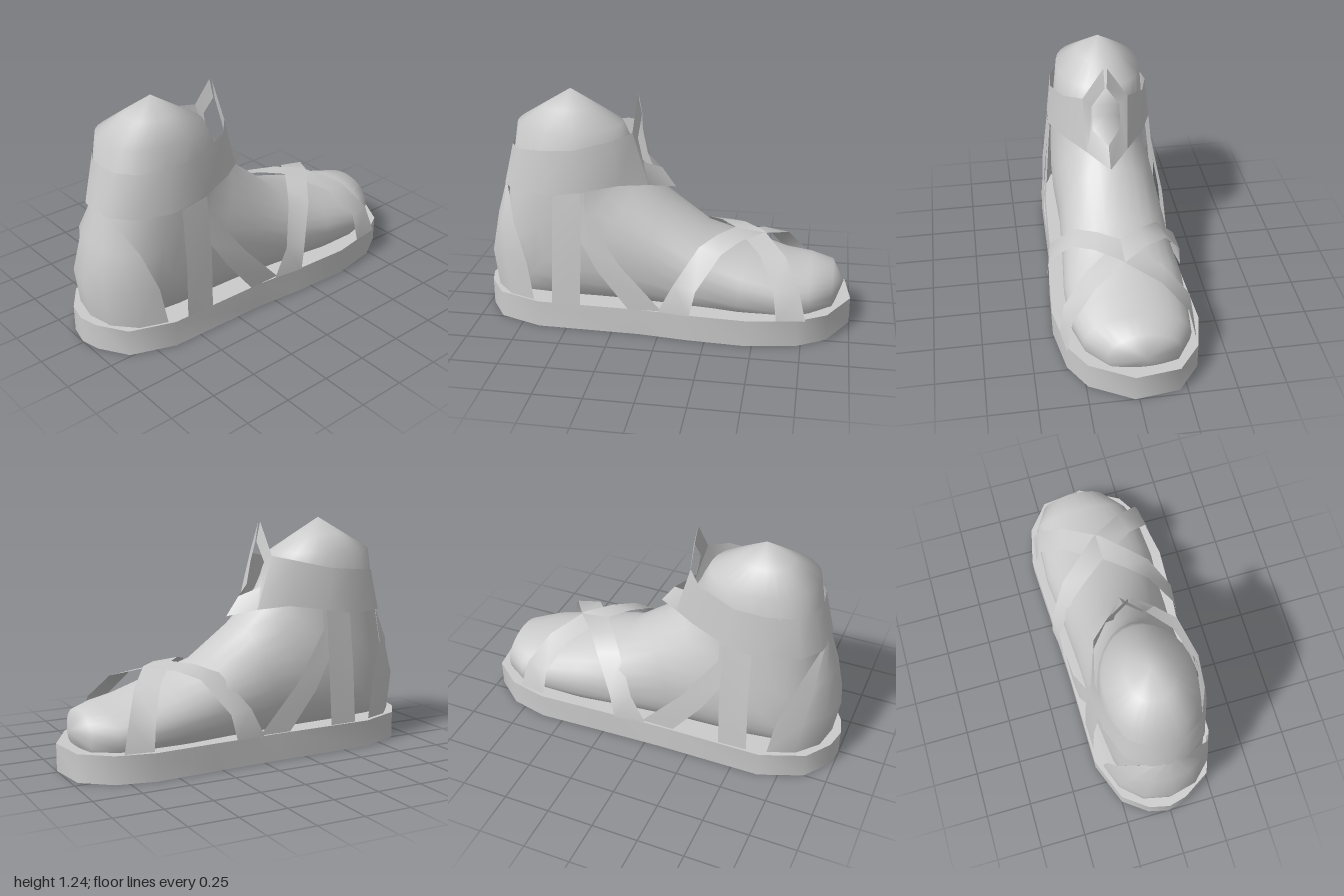
import * as THREE from 'three';
import { mergeVertices, toCreasedNormals } from 'three/addons/utils/BufferGeometryUtils.js';

const solid = new THREE.MeshStandardMaterial({ color: 0xcccccc });
const thin = new THREE.MeshStandardMaterial({ color: 0xcccccc, side: THREE.DoubleSide });

// Smooth surface through rows of [x, y, z] points, all rows of equal length
function sheet(name, rows, material = thin) {
  const n = rows[0].length, index = [];
  for (let r = 0; r < rows.length - 1; r++) {
    for (let c = 0; c < n - 1; c++) {
      const a = r * n + c, b = a + 1, d = a + n, e = d + 1;
      index.push(a, d, b, b, d, e);
    }
  }
  let geo = new THREE.BufferGeometry();
  geo.setAttribute('position', new THREE.Float32BufferAttribute(rows.flat(2), 3));
  geo.setIndex(index);
  geo = mergeVertices(geo, 1e-4);
  geo.computeVertexNormals();
  const mesh = new THREE.Mesh(geo, material);
  mesh.name = name;
  return mesh;
}

const flip = (row) => row.map(([x, y, z]) => [-x, y, z]);
// Extends a row that starts on the centre line to both sides
const bothSides = (row) => [...flip(row.slice(1)).reverse(), ...row];

function createSole() {
  const outline = [
    [0.02, -1], [0.24, -0.88], [0.33, -0.73], [0.375, -0.47], [0.36, -0.15], [0.335, 0.1],
    [0.325, 0.65], [0.24, 0.88], [0.09, 0.975], [-0.01, 1], [-0.12, 0.975], [-0.25, 0.88],
    [-0.34, 0.65], [-0.345, 0.1], [-0.36, -0.3], [-0.375, -0.62], [-0.33, -0.82], [-0.21, -0.97],
  ];
  const shape = new THREE.Shape(outline.map(([x, z]) => new THREE.Vector2(x, -z)));
  const geo = new THREE.ExtrudeGeometry(shape, { depth: 0.145, bevelEnabled: false });
  geo.rotateX(-Math.PI / 2);
  const mesh = new THREE.Mesh(toCreasedNormals(geo, 1), solid);
  mesh.name = 'sole';
  return mesh;
}

// Rings swing from upright at the toes to level at the ankle
function createFoot() {
  // top z, top y, bottom z, bottom y, half width, centre x
  const rings = [
    [-0.96, 0.22, -0.96, 0.22, 0, -0.04],
    [-0.9, 0.325, -0.9, 0.08, 0.185, -0.04],
    [-0.78, 0.35, -0.78, 0.05, 0.275, -0.025],
    [-0.65, 0.37, -0.62, 0.05, 0.305, -0.01],
    [-0.45, 0.44, -0.4, 0.05, 0.315, -0.01],
    [-0.22, 0.52, -0.15, 0.05, 0.295, -0.01],
    [0, 0.7, 0.2, 0.05, 0.28, -0.01],
    [0.1, 0.81, 0.6, 0.05, 0.28, -0.005],
    [0.15, 0.87, 0.88, 0.08, 0.268, 0],
    [0.18, 0.93, 0.93, 0.35, 0.26, 0],
    [0.2, 0.98, 0.86, 0.7, 0.25, -0.005],
    [0.24, 1.06, 0.8, 1.07, 0.23, -0.01],
    [0.38, 1.15, 0.66, 1.155, 0.118, -0.01],
    [0.52, 1.24, 0.52, 1.24, 0, -0.01],
  ];
  const sides = 28;
  const power = (v, p) => Math.sign(v) * Math.abs(v) ** p;
  const rows = rings.map(([tz, ty, bz, by, w, cx]) => {
    const row = [];
    for (let i = 0; i <= sides; i++) {
      const t = ((i % sides) / sides) * Math.PI * 2;
      // Round above, squarer towards the sole and heel
      const p = Math.cos(t) > 0 ? 1 : 0.84;
      const u = power(Math.cos(t), p) / 2;
      row.push([cx + w * power(Math.sin(t), p), (ty + by) / 2 + (ty - by) * u, (tz + bz) / 2 + (tz - bz) * u]);
    }
    return row;
  });
  return sheet('foot', rows, solid);
}

export function createModel() {
  const model = new THREE.Group();
  model.name = 'sandalOnFoot';
  model.add(createSole(), createFoot());

  // Ankle cuff, narrowing to the pull tab at the front
  const cuffTop = [[0, 0.955, 0.83], [0.1, 0.955, 0.815], [0.19, 0.957, 0.755], [0.25, 0.97, 0.61],
    [0.265, 0.985, 0.45], [0.215, 1.03, 0.25], [0.12, 1.05, 0.165]];
  const cuffLow = [[0, 0.73, 0.885], [0.1, 0.73, 0.87], [0.21, 0.735, 0.79], [0.275, 0.735, 0.62],
    [0.285, 0.765, 0.42], [0.215, 0.79, 0.22], [0.11, 0.765, 0.085]];
  model.add(sheet('ankleCuff', [bothSides(cuffTop), bothSides(cuffLow)]));

  // Pointed pull tab with a hole
  const tabOuter = [[0.01, 1.225, 0.155], cuffTop[6], cuffLow[6], [0, 0.725, -0.045]];
  const tabInner = [[0.005, 1.12, 0.135], [0.075, 1.01, 0.145], [0.075, 0.88, 0.12], [0, 0.83, 0.03]];
  model.add(sheet('pullTabLeft', [tabOuter, tabInner]));
  model.add(sheet('pullTabRight', [flip(tabOuter), flip(tabInner)]));

  // Heel counter, tapering up into the cuff
  const heel = [
    [[0, 0.75, 0.878], [0.03, 0.75, 0.876], [0.06, 0.745, 0.872], [0.08, 0.735, 0.866]],
    [[0, 0.56, 0.93], [0.1, 0.56, 0.915], [0.18, 0.56, 0.87], [0.24, 0.56, 0.79]],
    [[0, 0.35, 0.98], [0.14, 0.35, 0.945], [0.24, 0.35, 0.845], [0.287, 0.35, 0.715]],
    [[0, 0.145, 0.95], [0.14, 0.145, 0.92], [0.25, 0.145, 0.82], [0.302, 0.145, 0.68]],
  ];
  model.add(sheet('heelCounter', heel.map(bothSides)));

  const straps = {
    // Upright strap from the cuff to the sole
    sideStrap: [
      [[0.28, 0.74, 0.56], [0.315, 0.45, 0.565], [0.328, 0.145, 0.575]],
      [[0.285, 0.765, 0.41], [0.318, 0.45, 0.41], [0.333, 0.145, 0.42]],
    ],
    // Strap slanting forward from the cuff
    slantedStrap: [
      [[0.28, 0.77, 0.39], [0.29, 0.66, 0.39], [0.333, 0.39, 0.2], [0.335, 0.145, -0.02]],
      [[0.285, 0.75, 0.43], [0.31, 0.5, 0.41], [0.333, 0.35, 0.32], [0.335, 0.145, 0.16]],
    ],
    // Straps crossing over the forefoot
    crossStrap: [
      [[0.345, 0.145, 0], [0.342, 0.3, -0.08], [0.22, 0.475, -0.2], [0.11, 0.507, -0.285], [0, 0.512, -0.37],
        [-0.2, 0.44, -0.52], [-0.325, 0.3, -0.6], [-0.35, 0.145, -0.62]],
      [[0.37, 0.145, -0.17], [0.355, 0.28, -0.2], [0.25, 0.455, -0.32], [0.14, 0.49, -0.41], [0.02, 0.495, -0.52],
        [-0.17, 0.43, -0.65], [-0.295, 0.3, -0.73], [-0.33, 0.145, -0.77]],
    ],
  };
  for (const [name, rows] of Object.entries(straps)) {
    model.add(sheet(name + 'Left', rows), sheet(name + 'Right', rows.map(flip)));
  }
  return model;
}
